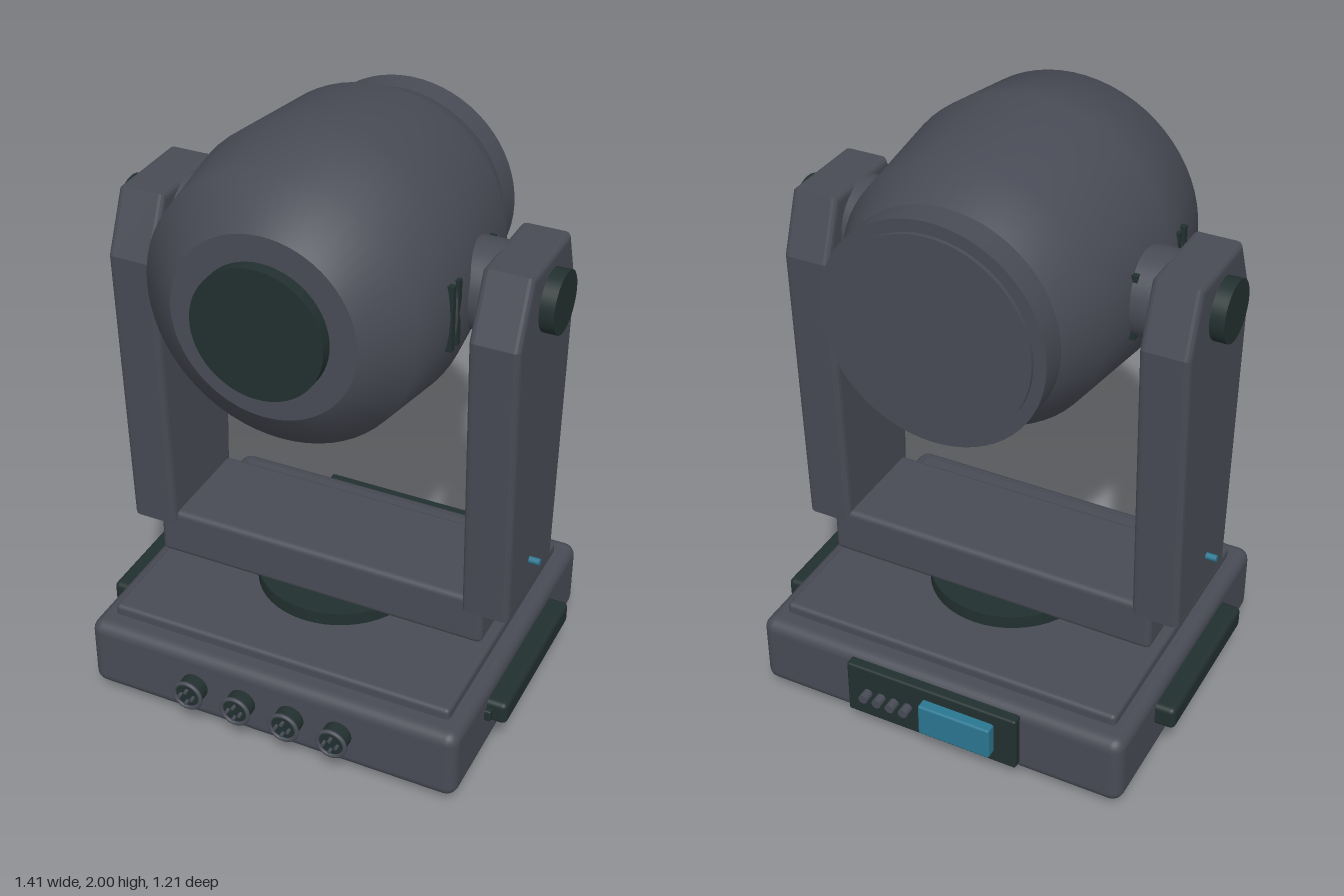
import * as THREE from 'three';
import { RoundedBoxGeometry } from 'three/addons/geometries/RoundedBoxGeometry.js';

const mat = (name, color) => {
  const m = new THREE.MeshStandardMaterial({ color });
  m.name = name;
  return m;
};

export function createModel() {
  const body = mat('charcoal grey', 0x484b55);
  const dark = mat('green black', 0x22302f);
  const blue = mat('teal blue', 0x2a7690);

  const model = new THREE.Group();
  model.name = 'movingHeadLight';

  const add = (name, geo, material, x = 0, y = 0, z = 0, parent = model) => {
    const m = new THREE.Mesh(geo, material);
    m.name = name;
    m.position.set(x, y, z);
    parent.add(m);
    return m;
  };
  const rbox = (w, h, d, r) => new RoundedBoxGeometry(w, h, d, 3, r);
  const cyl = (r, h, axis = 'y', seg = 32) => {
    const g = new THREE.CylinderGeometry(r, r, h, seg);
    if (axis === 'x') g.rotateZ(Math.PI / 2);
    if (axis === 'z') g.rotateX(Math.PI / 2);
    return g;
  };
  // Surface of revolution about z from [radius, z] pairs, listed back to front
  const latheZ = (pts) =>
    new THREE.LatheGeometry(pts.map(([r, z]) => new THREE.Vector2(r, z)), 64).rotateX(Math.PI / 2);

  // Base housing, top plate, feet and turntable
  add('base', rbox(1.28, 0.25, 1.08, 0.04), body, 0, 0.165, 0);
  add('baseTopPlate', rbox(1.17, 0.07, 0.93, 0.015), body, 0, 0.29, 0);
  for (const x of [-0.49, 0.49])
    for (const z of [-0.37, 0.37]) add('foot', cyl(0.06, 0.05), dark, x, 0.025, z);
  add('turntable', cyl(0.27, 0.05, 'y', 48), dark, 0, 0.345, 0);

  // Front sockets with flange and four pins
  for (const x of [-0.255, -0.085, 0.085, 0.25]) {
    const socket = new THREE.Group();
    socket.name = 'socket';
    socket.position.set(x, 0.165, 0.54);
    model.add(socket);
    add('socketBody', cyl(0.046, 0.05, 'z'), dark, 0, 0, 0.025, socket);
    add('socketFlange', new THREE.TorusGeometry(0.047, 0.007, 8, 32), body, 0, 0, 0.05, socket);
    for (let i = 0; i < 4; i++) {
      const a = i * Math.PI / 2;
      add('socketPin', cyl(0.006, 0.02, 'z', 8), body,
        0.022 * Math.cos(a), 0.022 * Math.sin(a), 0.056, socket);
    }
  }

  // Rear panel with display and buttons
  add('rearPanel', rbox(0.6, 0.195, 0.05, 0.008), dark, 0, 0.172, -0.545);
  add('display', rbox(0.25, 0.115, 0.05, 0.008), blue, -0.1, 0.172, -0.58);
  for (let i = 0; i < 4; i++)
    add('button', cyl(0.016, 0.045, 'z', 16), body, 0.08 + i * 0.048, 0.172, -0.5825);

  // Yoke crossbar
  add('yokeBar', rbox(1.14, 0.17, 0.36, 0.02), body, 0, 0.445, 0);

  // Tapered arm outline in z and y
  const armShape = new THREE.Shape([
    [-0.185, 0.49], [0.195, 0.49], [0.238, 1.48], [0.15, 1.675], [-0.15, 1.675], [-0.222, 1.48],
  ].map(([z, y]) => new THREE.Vector2(z, y)));
  const armGeo = new THREE.ExtrudeGeometry(armShape, {
    depth: 0.119, bevelEnabled: true, bevelThickness: 0.018, bevelSize: 0.018,
    bevelOffset: -0.018, bevelSegments: 3,
  });
  armGeo.translate(0, 0, -0.0595).rotateY(-Math.PI / 2);

  // Mirrored side parts
  for (const s of [-1, 1]) {
    add('yokeArm', armGeo, body, s * 0.5825, 0, 0);
    add('pivotAxle', cyl(0.137, 0.14, 'x', 40), body, s * 0.45, 1.538, 0);
    add('pivotCap', cyl(0.096, 0.06, 'x', 40), dark, s * 0.675, 1.537, 0.005);
    add('indicator', cyl(0.011, 0.05, 'x', 12), blue, s * 0.67, 0.625, 0.03);
    add('handle', rbox(0.085, 0.08, 0.565, 0.018), dark, s * 0.6625, 0.203, 0.003);
    add('handleTab', rbox(0.03, 0.04, 0.05, 0.006), dark, s * 0.645, 0.198, 0.28);
    for (const z of [0.222, 0.18, -0.1])
      add('headVent', new THREE.BoxGeometry(0.03, 0.21, 0.02), dark,
        s * (z > 0 ? 0.441 : 0.432), 1.535, z);
  }

  // Lamp head
  const head = new THREE.Group();
  head.name = 'head';
  head.position.y = 1.535;
  model.add(head);
  add('headShell', latheZ([[0.355, -0.41], [0.425, -0.26], [0.465, 0.12], [0.425, 0.4], [0.29, 0.5]]),
    body, 0, 0, 0, head);
  add('headFront', new THREE.CircleGeometry(0.29, 64), body, 0, 0, 0.5, head);
  add('lens', cyl(0.207, 0.05, 'z', 64), dark, 0, 0, 0.515, head);
  add('rearRim', cyl(0.357, 0.09, 'z', 64), body, 0, 0, -0.453, head);
  add('rearCover', cyl(0.318, 0.03, 'z', 64), body, 0, 0, -0.495, head);

  return model;
}
